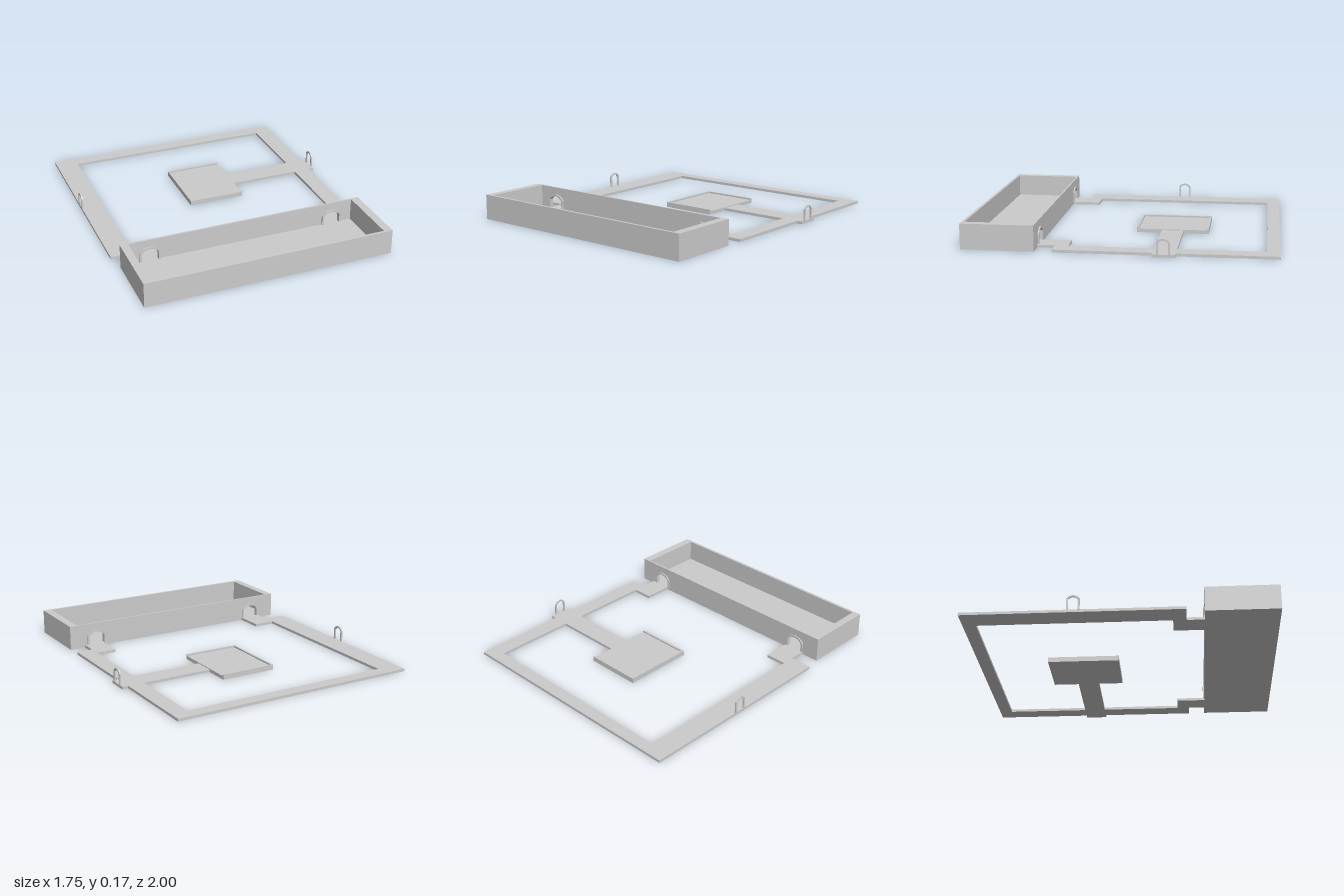
import * as THREE from 'three';

const T = 0.018; // slab thickness

export function createModel() {
  const group = new THREE.Group();
  const mat = new THREE.MeshStandardMaterial({ color: 0xcccccc, flatShading: true });

  const add = (name, geo) => {
    const mesh = new THREE.Mesh(geo, mat);
    mesh.name = name;
    group.add(mesh);
    return mesh;
  };

  // Box given by its extents
  const block = (name, x0, x1, y0, y1, z0, z1) => {
    const mesh = add(name, new THREE.BoxGeometry(x1 - x0, y1 - y0, z1 - z0));
    mesh.position.set((x0 + x1) / 2, (y0 + y1) / 2, (z0 + z1) / 2);
    return mesh;
  };

  // Points of a low-poly arch outline, from left foot to right foot
  const archPoints = (w, y0, spring, top) => [
    [-w / 2, y0], [-w / 2, spring], [-w * 0.3, spring + (top - spring) * 0.7], [0, top],
    [w * 0.3, spring + (top - spring) * 0.7], [w / 2, spring], [w / 2, y0],
  ];
  const toVectors = (pts, dx = 0) => pts.map(([x, y]) => new THREE.Vector2(x + dx, y));

  // Free-standing arch frame, extruded along z and centred on it
  const archFrame = (name, w, spring, top, bar, depth) => {
    const outer = archPoints(w, T, spring, top);
    const inner = archPoints(w - bar * 2, T, spring - bar * 0.4, top - bar);
    const geo = new THREE.ExtrudeGeometry(
      new THREE.Shape(toVectors([...outer, ...inner.reverse()])),
      { depth, bevelEnabled: false });
    geo.translate(0, 0, -depth / 2);
    return add(name, geo);
  };

  // Walkway: one flat outline around the yard, with inward feet and a bridge
  const path = [
    [-0.87, -1], [0.83, -1], [0.83, -0.36], [0.87, -0.36], [0.87, -0.215], [0.83, -0.215],
    [0.83, 0.415], [0.72, 0.415], [0.72, 0.54], [0.58, 0.54], [0.58, 0.33], [0.72, 0.33],
    [0.72, -0.215], [0.235, -0.215], [0.235, -0.36], [0.72, -0.36], [0.72, -0.915],
    [-0.72, -0.915], [-0.72, 0.33], [-0.575, 0.33], [-0.575, 0.54], [-0.72, 0.54],
    [-0.72, 0.415], [-0.87, 0.415],
  ];
  const walkway = new THREE.ExtrudeGeometry(
    new THREE.Shape(path.map(([x, z]) => new THREE.Vector2(x, -z))),
    { depth: T, bevelEnabled: false });
  walkway.rotateX(-Math.PI / 2);
  add('walkway', walkway);

  // Central platform with a low rim, open toward the bridge
  block('platform', -0.15, 0.235, 0, 0.024, -0.53, -0.05);
  block('platformRimSide', -0.15, -0.138, 0.024, 0.034, -0.53, -0.05);
  block('platformRimBack', -0.138, 0.235, 0.024, 0.034, -0.53, -0.518);
  block('platformRimFront', -0.138, 0.235, 0.024, 0.034, -0.062, -0.05);

  // Front hall: open-topped box
  const H = 0.167;
  block('hallFloor', -0.84, 0.828, 0, T, 0.528, 1);
  block('hallLeftWall', 0.773, 0.828, T, H, 0.54, 1);
  block('hallRightWall', -0.84, -0.788, T, H, 0.54, 1);
  block('hallFrontWall', -0.788, 0.773, T, H, 0.982, 1);

  // Rear wall of the hall with its two doorways
  const doors = [-0.648, 0.63];
  const outline = [[-0.84, H], [-0.84, T]];
  const wallPoints = toVectors(outline);
  for (const x of doors) wallPoints.push(...toVectors(archPoints(0.115, T, 0.08, 0.107), x));
  wallPoints.push(...toVectors([[0.828, T], [0.828, H]]));
  const rearWall = new THREE.ExtrudeGeometry(new THREE.Shape(wallPoints),
    { depth: 0.012, bevelEnabled: false });
  rearWall.translate(0, 0, 0.528);
  add('hallRearWall', rearWall);

  // Door surrounds
  for (const x of doors) {
    archFrame('doorArch', 0.14, 0.085, 0.12, 0.014, 0.03).position.set(x, 0, 0.535);
  }

  // Small arches on the outer edges of the walkway
  for (const side of [-1, 1]) {
    const arch = archFrame('sideArch', 0.085, 0.095, 0.12, 0.012, 0.01);
    arch.rotation.y = Math.PI / 2;
    arch.position.set(side * 0.868, 0, -0.285);
  }

  return group;
}
